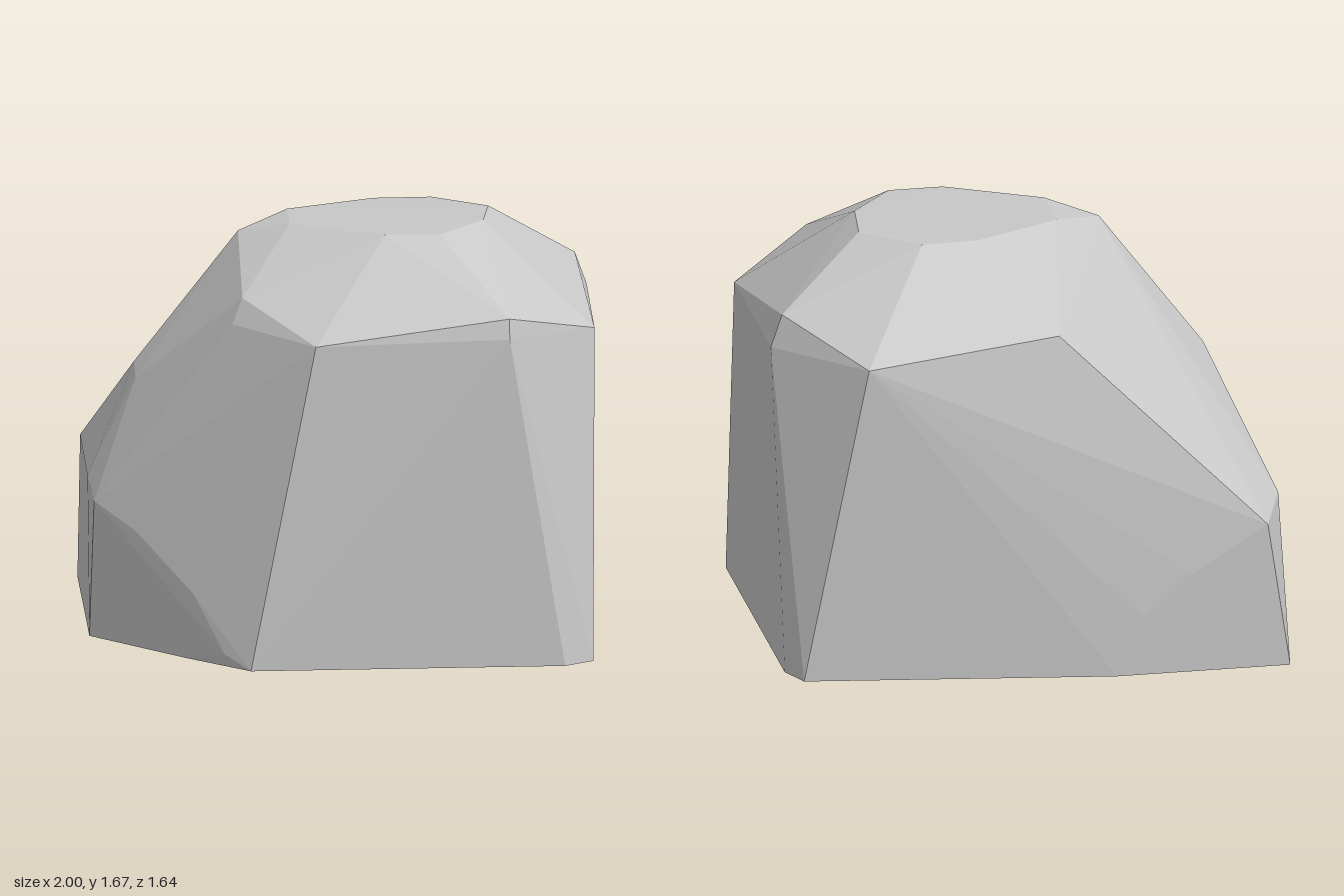
import * as THREE from 'three';
import { ConvexGeometry } from 'three/addons/geometries/ConvexGeometry.js';

// Faceted boulder: the convex skin around a few rings of corner points.
const base = [
  [-1, 0, -0.82], [-0.3, 0, -0.82], [0.93, 0, -0.64], [0.985, 0, -0.52], [0.985, 0, 0.7],
  [0.87, 0, 0.78], [-0.38, 0, 0.82], [-0.63, 0, 0.58], [-0.995, 0, 0.19],
];
// worn corners low on the left front and on the back
const lowChips = [
  [-0.48, 0.05, 0.74], [-0.6, 0.27, 0.627], [-0.82, 0.48, 0.42], [-0.98, 0.57, 0.27],
  [-1, 0.64, 0.13], [-1, 0.64, -0.57], [-0.91, 0.6, -0.82],
  [-0.6, 0.41, -0.82], [-0.41, 0.24, -0.82],
];
// shoulder where the sides turn into the sloping crown
const shoulder = [
  [-0.12, 1.31, 0.78], [0.65, 1.33, 0.768], [0.65, 1.41, 0.75], [1, 1.3, 0.45], [1, 1.3, -0.31],
  [0.953, 1.43, -0.3], [0.67, 1.3, -0.655], [-0.1, 1.39, -0.645], [-0.81, 1.08, 0.02],
  [-0.81, 1.04, 0.14], [-0.44, 1.34, 0.5], [-0.4, 1.44, 0.47],
];
// nearly flat top
const crown = [
  [-0.4, 1.62, 0.07], [-0.2, 1.67, -0.08], [0.15, 1.67, -0.25], [0.38, 1.67, -0.26],
  [0.6, 1.675, -0.08], [0.57, 1.675, 0.16], [0.39, 1.67, 0.38], [0.17, 1.67, 0.38], [-0.2, 1.67, 0.18],
];

export function createModel() {
  const group = new THREE.Group();
  group.name = 'boulder';
  const stone = new THREE.MeshStandardMaterial({ color: 0xc7c7c7 });
  stone.name = 'pale grey stone';

  const points = [...base, ...lowChips, ...shoulder, ...crown].map((p) => new THREE.Vector3(...p));
  const rock = new THREE.Mesh(new ConvexGeometry(points), stone);
  rock.name = 'rock';
  group.add(rock);
  return group;
}
